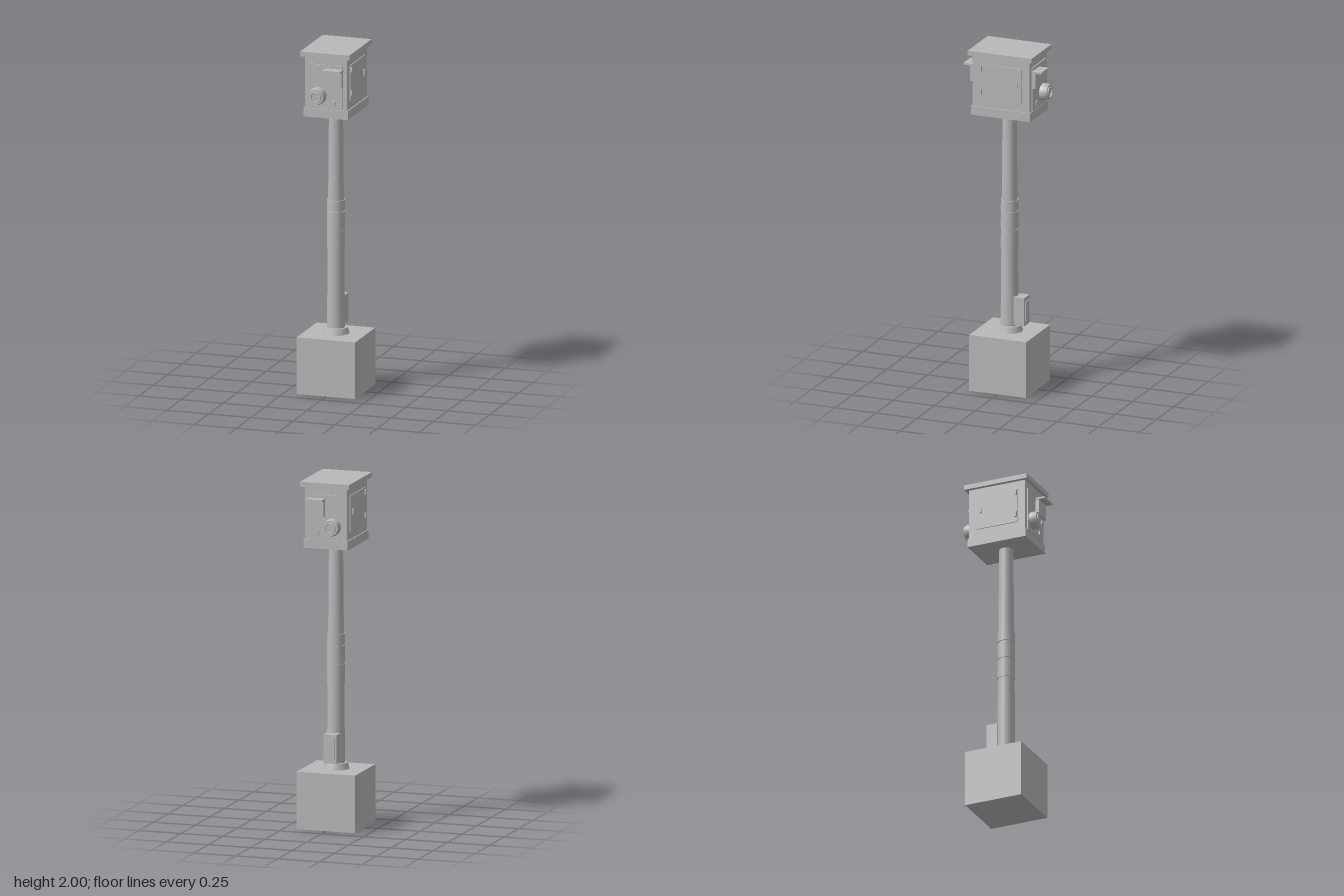
import * as THREE from 'three';

export function createModel() {
  const model = new THREE.Group();
  const grey = new THREE.MeshStandardMaterial({ color: 0xb8b8b8 });
  grey.name = 'grey';

  const add = (name, geometry, parent = model) => {
    const mesh = new THREE.Mesh(geometry, grey);
    mesh.name = name;
    parent.add(mesh);
    return mesh;
  };
  // Box given by its limits on each axis
  const box = (name, [x0, x1], [y0, y1], [z0, z1]) =>
    add(name, new THREE.BoxGeometry(x1 - x0, y1 - y0, z1 - z0))
      .position.set((x0 + x1) / 2, (y0 + y1) / 2, (z0 + z1) / 2);
  // Upright round section
  const round = (name, rBottom, rTop, y0, y1) => {
    add(name, new THREE.CylinderGeometry(rTop, rBottom, y1 - y0, 32)).position.y = (y0 + y1) / 2;
  };
  // Sharp-edged turned part: each profile segment becomes its own lathe
  const turned = (name, profile) => {
    const group = new THREE.Group();
    group.name = name;
    for (let i = 0; i < profile.length - 1; i++) {
      const pts = [profile[i], profile[i + 1]].map(([r, y]) => new THREE.Vector2(r, y));
      add(name + 'Face', new THREE.LatheGeometry(pts, 32), group);
    }
    model.add(group);
    return group;
  };
  // Limits of a part on the positive (s = 1) or negative (s = -1) side
  const span = (s, a, b) => (s > 0 ? [a, b] : [-b, -a]);

  // Foundation block, flange and tapered pole
  box('foundation', [-0.174, 0.174], [0, 0.33], [-0.174, 0.174]);
  round('flange', 0.076, 0.066, 0.33, 0.365);
  round('pole', 0.051, 0.04, 0.36, 1.63);

  // Three clamp bands around the middle of the pole
  for (const [y0, y1] of [[0.82, 0.932], [0.938, 1.038], [1.044, 1.105]])
    round('band', 0.0505, 0.0495, y0, y1);

  // Junction box on the back of the pole
  box('junctionBox', [-0.039, 0.039], [0.375, 0.54], [-0.105, -0.04]);
  box('junctionDoor', [-0.026, 0.026], [0.4, 0.515], [-0.111, -0.104]);

  // Cabinet
  box('cabinetBody', [-0.125, 0.125], [1.65, 1.975], [-0.174, 0.174]);
  box('cabinetSkirt', [-0.132, 0.132], [1.62, 1.672], [-0.18, 0.18]);
  box('roof', [-0.146, 0.146], [1.972, 2], [-0.195, 0.195]);

  for (const s of [-1, 1]) {
    // Instrument panel, the same on front and back
    box('facePanel', [-0.1, 0.1], [1.675, 1.93], span(s, 0.17, 0.181));
    box('window', [0.004, 0.1], [1.808, 1.905], span(s, 0.18, 0.2));
    box('hood', [0, 0.105], [1.9, 1.911], span(s, 0.18, 0.238));
    box('button', [0.039, 0.059], [1.698, 1.722], span(s, 0.18, 0.19));
    const lens = turned('lens', [
      [0.049, 0], [0.049, 0.025], [0.044, 0.045], [0.033, 0.045],
      [0.031, 0.051], [0.027, 0.051], [0.025, 0.043], [0, 0.043],
    ]);
    lens.rotation.x = s * Math.PI / 2;
    lens.position.set(-0.043, 1.75, s * 0.18);

    // Side door with two hinges and a latch
    box('sideDoor', span(s, 0.12, 0.131), [1.72, 1.925], [-0.125, 0.13]);
    for (const y of [1.9, 1.765])
      box('hinge', span(s, 0.13, 0.14), [y - 0.015, y + 0.015], [0.115, 0.127]);
    box('latch', span(s, 0.13, 0.14), [1.815, 1.847], [-0.106, -0.088]);
  }
  return model;
}
